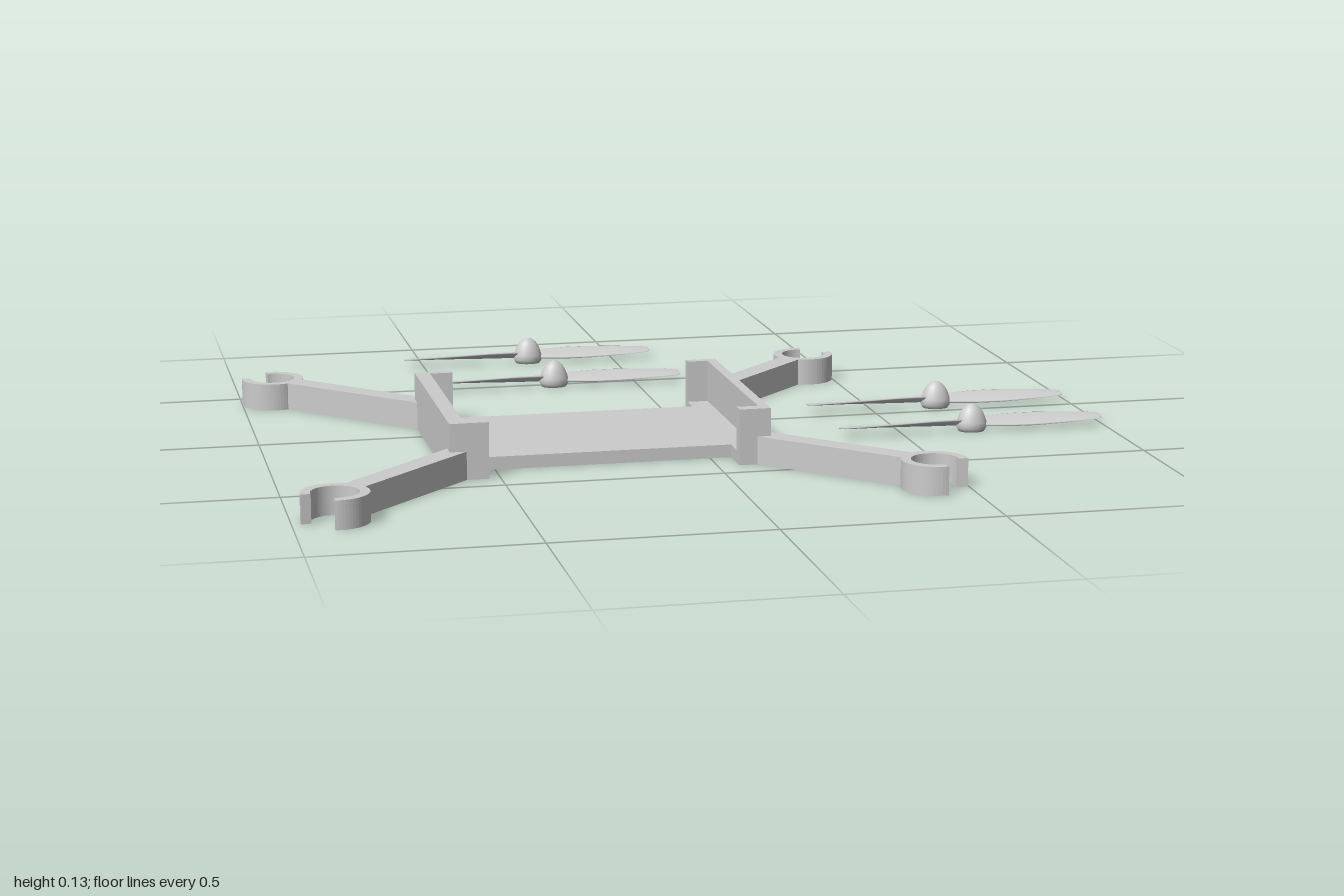
import * as THREE from 'three';

const material = new THREE.MeshStandardMaterial({ color: 0xcccccc });
const ARM_HEIGHT = 0.065;

function mesh(name, geometry) {
  const m = new THREE.Mesh(geometry, material);
  m.name = name;
  return m;
}

// Box given by its limits on each axis
function block(name, x0, x1, y0, y1, z0, z1) {
  const m = mesh(name, new THREE.BoxGeometry(x1 - x0, y1 - y0, z1 - z0));
  m.position.set((x0 + x1) / 2, (y0 + y1) / 2, (z0 + z1) / 2);
  return m;
}

// Side channel: outer wall, floor and two end tabs, open towards the plate
function sideRail(name, outer, wall, inner) {
  const rail = new THREE.Group();
  rail.name = name;
  const span = (a, b) => [Math.min(a, b), Math.max(a, b)];
  rail.add(
    block('railWall', ...span(outer, wall), 0, 0.13, -0.12, 0.435),
    block('railFloor', ...span(wall, inner), 0, 0.03, -0.1, 0.405),
    block('railBackTab', ...span(wall, inner), 0, 0.13, -0.12, -0.1),
    block('railFrontTab', ...span(wall, inner), 0, 0.13, 0.405, 0.435)
  );
  return rail;
}

// Arm with an open motor clamp at its end, gap facing outwards
function arm(name, [rootX, rootZ], [tipX, tipZ]) {
  const group = new THREE.Group();
  group.name = name;
  const dx = tipX - rootX, dz = tipZ - rootZ;
  const gap = 0.65;
  const ring = new THREE.Shape();
  ring.absarc(0, 0, 0.075, gap, Math.PI * 2 - gap, false);
  ring.absarc(0, 0, 0.053, Math.PI * 2 - gap, gap, true);
  ring.closePath();
  const clamp = new THREE.ExtrudeGeometry(ring, { depth: ARM_HEIGHT, bevelEnabled: false, curveSegments: 24 });
  clamp.rotateX(-Math.PI / 2);
  group.add(
    mesh('motorClamp', clamp),
    block('armBeam', -Math.hypot(dx, dz), -0.062, 0, ARM_HEIGHT, -0.027, 0.027)
  );
  group.position.set(tipX, 0, tipZ);
  group.rotation.y = Math.atan2(-dz, dx);
  return group;
}

// Twisted blade lofted along +x: [x, half chord, half thickness, pitch]
function bladeGeometry() {
  const stations = [
    [0.01, 0.016, 0.006, 0.55], [0.05, 0.02, 0.005, 0.5], [0.1, 0.026, 0.004, 0.42],
    [0.16, 0.03, 0.0035, 0.33], [0.23, 0.029, 0.003, 0.25], [0.29, 0.025, 0.0025, 0.18],
    [0.315, 0.021, 0.002, 0.15], [0.324, 0.013, 0.0015, 0.15]
  ];
  const n = 12, positions = [], index = [];
  for (const [x, chord, thick, pitch] of stations) {
    for (let j = 0; j < n; j++) {
      const a = (j / n) * Math.PI * 2;
      const z = Math.cos(a) * chord, y = Math.sin(a) * thick;
      positions.push(x, 0.021 + y * Math.cos(pitch) - z * Math.sin(pitch),
        z * Math.cos(pitch) + y * Math.sin(pitch));
    }
  }
  for (let i = 0; i < stations.length - 1; i++) {
    for (let j = 0; j < n; j++) {
      const a = i * n + j, b = i * n + (j + 1) % n;
      index.push(a, a + n, b, b, a + n, b + n);
    }
  }
  // End caps
  const last = (stations.length - 1) * n;
  for (let j = 1; j < n - 1; j++) {
    index.push(0, j, j + 1, last, last + j + 1, last + j);
  }
  const g = new THREE.BufferGeometry();
  g.setAttribute('position', new THREE.Float32BufferAttribute(positions, 3));
  g.setIndex(index);
  g.computeVertexNormals();
  return g;
}

// Loose propeller: egg-shaped hub with two opposite blades
function propeller(name, x, z, blade, hub) {
  const group = new THREE.Group();
  group.name = name;
  const left = mesh('bladeLeft', blade);
  const right = mesh('bladeRight', blade);
  right.rotation.y = Math.PI;
  const spinner = mesh('propellerHub', hub);
  spinner.scale.x = 1.2;
  group.add(left, right, spinner);
  group.position.set(x, 0, z);
  return group;
}

export function createModel() {
  const model = new THREE.Group();
  model.name = 'quadcopterKit';

  // Body
  model.add(
    block('basePlate', -0.526, 0.05, 0, 0.03, -0.05, 0.355),
    sideRail('rightRail', -0.615, -0.58, -0.526),
    sideRail('leftRail', 0.123, 0.1, 0.05)
  );

  // Arms: root and clamp centre as x, z
  model.add(
    arm('backRightArm', [-0.595, -0.1], [-0.925, -0.43]),
    arm('backLeftArm', [0.1, -0.1], [0.427, -0.43]),
    arm('frontRightArm', [-0.595, 0.415], [-0.905, 0.73]),
    arm('frontLeftArm', [0.105, 0.41], [0.423, 0.727])
  );

  // Propellers lying beside the body
  const blade = bladeGeometry();
  const profile = [[0, 0], [0.026, 0], [0.031, 0.01], [0.03, 0.022], [0.025, 0.04],
    [0.018, 0.054], [0.009, 0.063], [0, 0.066]].map(([r, y]) => new THREE.Vector2(r, y));
  const hub = new THREE.LatheGeometry(profile, 24);
  [[-0.225, -0.78], [-0.21, -0.483], [0.662, -0.042], [0.672, 0.217]].forEach(([x, z], i) =>
    model.add(propeller('propeller' + (i + 1), x, z, blade, hub)));

  return model;
}
